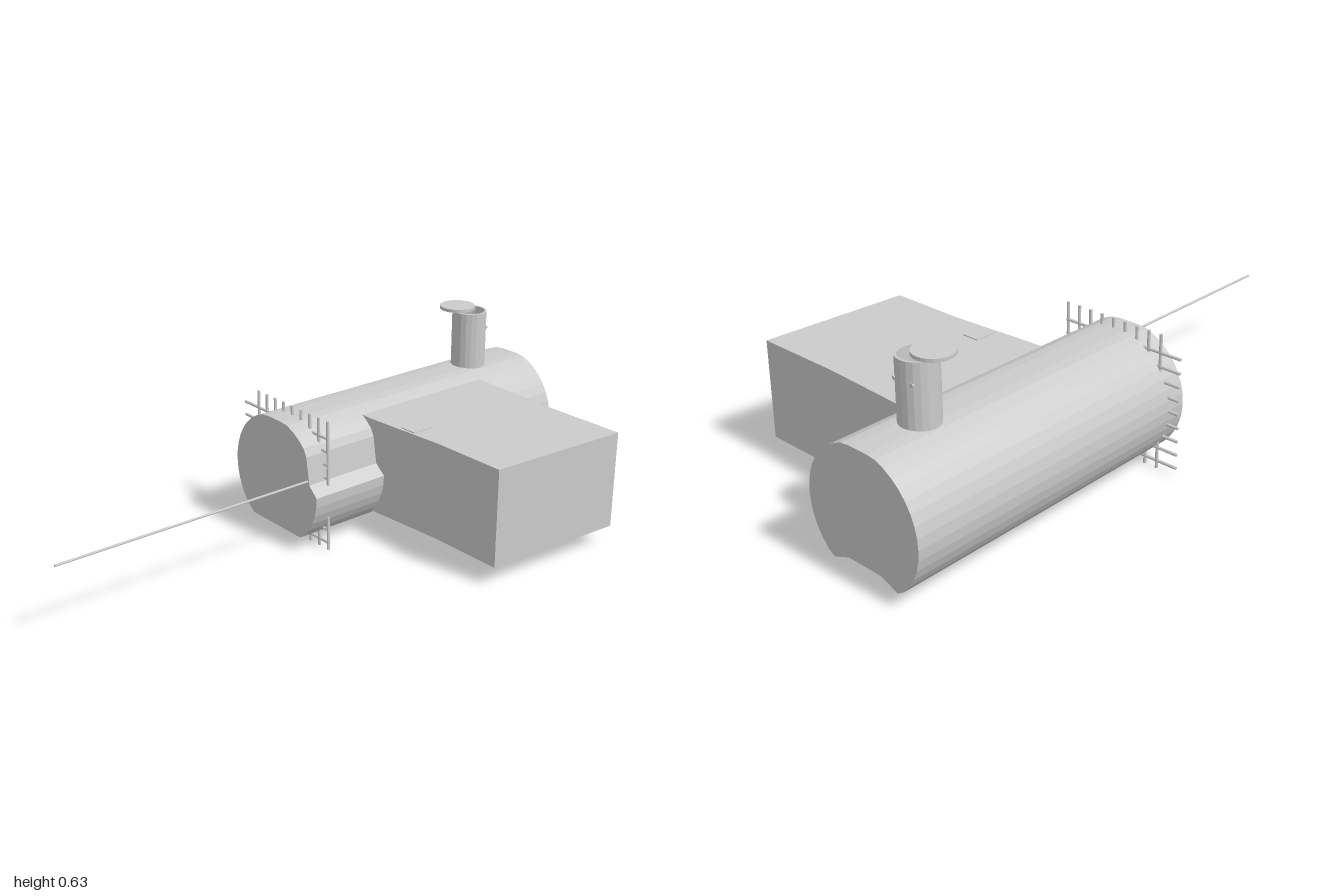
import * as THREE from 'three';

const CY = 0.21, CZ = -0.25, R = 0.215, SIDES = 40;

export function createModel() {
  const model = new THREE.Group();
  const mat = new THREE.MeshStandardMaterial({ color: 0xcccccc, flatShading: true, side: THREE.DoubleSide });

  function add(name, geometry, x = 0, y = 0, z = 0, parent = model) {
    const mesh = new THREE.Mesh(geometry, mat);
    mesh.name = name;
    mesh.position.set(x, y, z);
    parent.add(mesh);
    return mesh;
  }

  // Cross-section of the tank: a circle cut flat above and below,
  // with an optional flat cut on the upper front and a hollow underside
  function section(x, notch, hollow, drop) {
    const ring = [];
    for (let i = 0; i < SIDES; i++) {
      const a = (i / SIDES) * Math.PI * 2;
      let y = CY + R * Math.sin(a), z = CZ + R * Math.cos(a);
      y = Math.min(y, 0.418);
      if (y < 0.045) {
        const t = Math.max(0, 1 - Math.abs(z - CZ) / 0.13);
        y = 0.04 + hollow * Math.min(1, t * 2) - drop * t * (1 + 0.4 * Math.sin(i * 2.3));
      }
      if (notch && y > 0.215 && y < 0.37) z = Math.min(z, -0.068 - (y - 0.22) * 0.15);
      ring.push([x, y, z]);
    }
    return ring;
  }

  // Tank: sections joined along x, closed by end caps
  const rings = [
    section(-0.1, true, 0, 0), section(0.19, true, 0, 0.004), section(0.195, false, 0, 0.004),
    section(0.32, false, 0, 0.01), section(0.48, false, 0, 0.002), section(0.62, false, 0, 0.012),
    section(0.8, false, 0, 0.004), section(0.93, false, 0, 0.004), section(0.985, false, 0.026, 0),
  ];
  const points = rings.flat(2), index = [];
  for (let r = 0; r < rings.length - 1; r++) {
    for (let i = 0; i < SIDES; i++) {
      const j = (i + 1) % SIDES, a = r * SIDES + i, b = r * SIDES + j;
      index.push(a, b, a + SIDES, b, b + SIDES, a + SIDES);
    }
  }
  const c = rings.length * SIDES, last = c - SIDES;
  points.push(-0.1, CY, CZ, 0.985, CY, CZ);
  for (let i = 0; i < SIDES; i++) {
    const j = (i + 1) % SIDES;
    index.push(c, j, i, c + 1, last + i, last + j);
  }
  const tank = new THREE.BufferGeometry();
  tank.setAttribute('position', new THREE.Float32BufferAttribute(points, 3));
  tank.setIndex(index);
  tank.computeVertexNormals();
  add('tank', tank);

  // Entrance block: plan outline extruded upwards, flaring where it meets the tank
  const plan = [[0.18, -0.2], [0.18, -0.1], [0.2, 0.2], [0.2, 0.466], [0.706, 0.5], [0.706, 0.2], [0.72, -0.1], [0.72, -0.2]];
  const outline = new THREE.Shape(plan.map(([x, z]) => new THREE.Vector2(x, -z)));
  const block = new THREE.ExtrudeGeometry(outline, { depth: 0.33, bevelEnabled: false });
  block.rotateX(-Math.PI / 2);
  add('entranceBlock', block, 0, 0.065, 0);

  // Thin patches above and below the block
  add('topPatch', new THREE.BoxGeometry(0.08, 0.004, 0.06), 0.24, 0.396, 0.06);
  const patch = add('undersidePatch', new THREE.CylinderGeometry(0.075, 0.06, 0.012, 14), 0.31, 0.06, 0.075);
  patch.scale.x = 1.4;

  // Chimney: open pipe with rivets and a lid pushed to one side
  const chimney = new THREE.Group();
  chimney.name = 'chimney';
  chimney.position.set(0.77, 0, CZ);
  model.add(chimney);
  const pipe = [[0.061, 0.4], [0.061, 0.615], [0.053, 0.615], [0.053, 0.4]].map(p => new THREE.Vector2(...p));
  add('chimneyPipe', new THREE.LatheGeometry(pipe, 20), 0, 0, 0, chimney);
  add('chimneyFloor', new THREE.CylinderGeometry(0.055, 0.055, 0.01, 20), 0, 0.42, 0, chimney);
  add('chimneyLid', new THREE.CylinderGeometry(0.062, 0.062, 0.011, 24), -0.024, 0.6235, -0.037, chimney);
  for (const z of [0.035, -0.033]) {
    const rivet = add('chimneyRivet', new THREE.CylinderGeometry(0.006, 0.006, 0.01, 8), 0.049, 0.55, z, chimney);
    rivet.rotation.z = Math.PI / 2;
  }

  // Grid of bars crossing the tank near its right end
  const grid = new THREE.Group();
  grid.name = 'barGrid';
  grid.position.x = -0.033;
  model.add(grid);
  for (let i = 0; i < 9; i++) {
    add('uprightBar', new THREE.CylinderGeometry(0.005, 0.005, 0.45, 8), 0, 0.225, -0.06 - i * 0.0456, grid);
    const bar = add('crossBar', new THREE.CylinderGeometry(0.005, 0.005, 0.445, 8), 0, 0.025 + i * 0.0456, -0.2775, grid);
    bar.rotation.x = Math.PI / 2;
  }

  // Long thin rod leaving the right end of the tank
  const rod = add('rod', new THREE.CylinderGeometry(0.004, 0.004, 1.19, 8), -0.405, 0.255, -0.08);
  rod.rotation.z = Math.PI / 2;

  return model;
}
